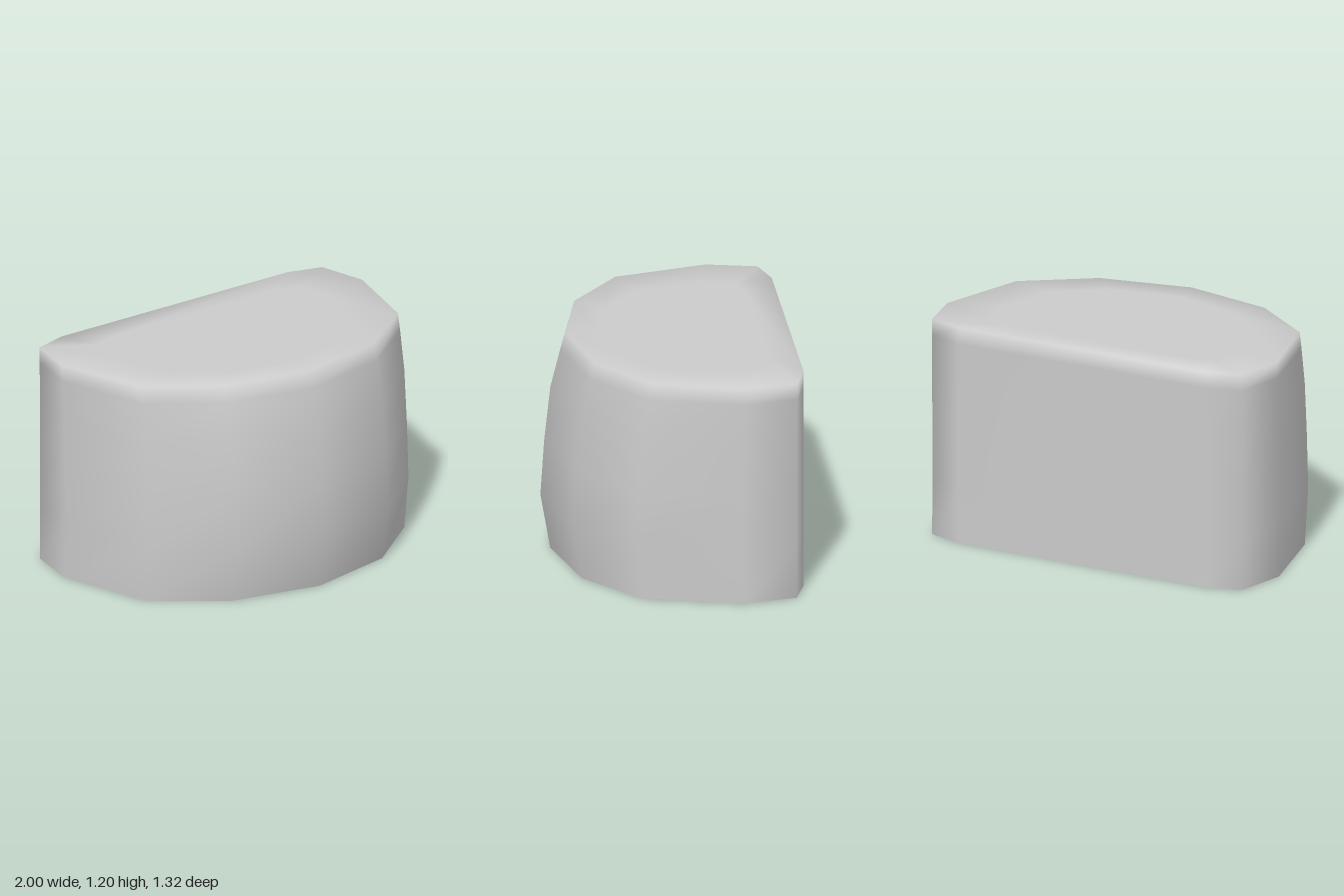
import * as THREE from 'three';

// Half outline [x, z] on the left side, from the flat back to the pointed front
const HALF = [[0.75, -0.66], [0.94, -0.6], [1, -0.3], [0.86, 0.25], [0.5, 0.54], [0, 0.655]];
const OUTLINE = [...HALF, ...HALF.slice(0, -1).reverse().map(([x, z]) => [-x, z])];
const BACK = -0.66;

// [height, depth scale measured from the back]: the front bulges low and leans back at the top
const LEVELS = [[0, 0.96], [0.3, 1], [0.6, 0.985], [0.9, 0.96], [1.11, 0.92], [1.2, 0.9]];

const ringAt = ([y, s]) => OUTLINE.map(([x, z]) => [x, y, BACK + (z - BACK) * s]);

function meshFrom(name, points, index, material) {
  const geometry = new THREE.BufferGeometry();
  geometry.setAttribute('position', new THREE.Float32BufferAttribute(points.flat(), 3));
  geometry.setIndex(index);
  geometry.computeVertexNormals();
  const mesh = new THREE.Mesh(geometry, material);
  mesh.name = name;
  return mesh;
}

export function createModel() {
  const group = new THREE.Group();
  group.name = 'roundedBlock';
  const material = new THREE.MeshStandardMaterial({ color: 0xcccccc });
  const n = OUTLINE.length;

  // Walls and top share vertices so the rim shades softly; an inset ring keeps the top centre flat
  const rings = LEVELS.map(ringAt);
  const rim = rings[rings.length - 1];
  rings.push(rim.map(([x, y, z]) => [x * 0.72, y, -0.08 + (z + 0.08) * 0.72]));
  const points = rings.flat();
  const index = [];
  for (let r = 0; r < rings.length - 1; r++) {
    for (let i = 0; i < n; i++) {
      const a = r * n + i;
      const b = r * n + (i + 1) % n;
      index.push(b, a, a + n, b, a + n, b + n);
    }
  }
  const last = (rings.length - 1) * n;
  const centre = points.push([0, 1.2, -0.08]) - 1;
  for (let i = 0; i < n; i++) index.push(last + (i + 1) % n, last + i, centre);
  group.add(meshFrom('body', points, index, material));

  // Flat base with its own vertices for a sharp lower edge
  const base = [...rings[0], [0, 0, -0.08]];
  const baseIndex = rings[0].flatMap((_, i) => [i, (i + 1) % n, n]);
  group.add(meshFrom('base', base, baseIndex, material));
  return group;
}
